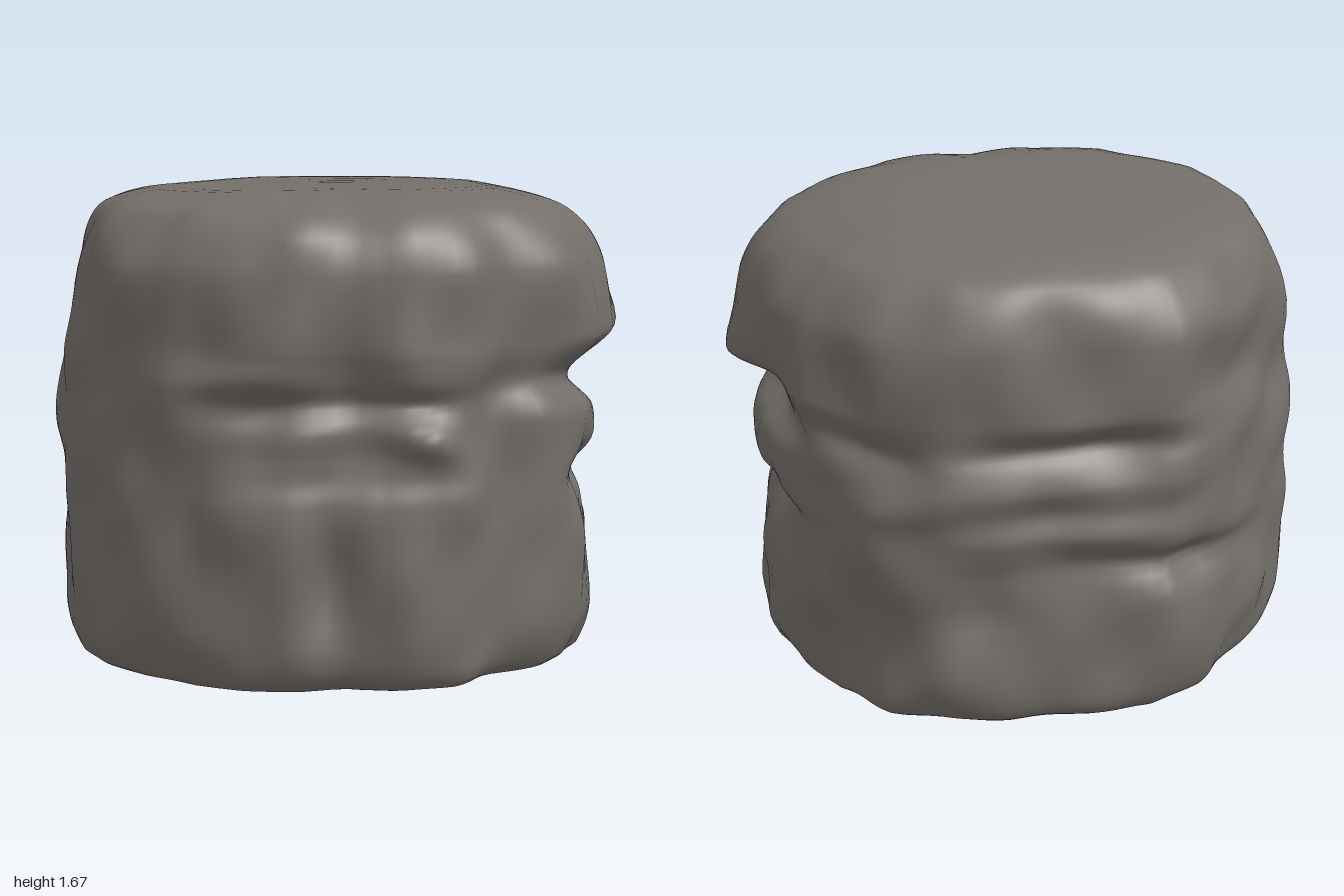
import * as THREE from 'three';

// Plan outline of the boulder, as [x, z]
const OUTLINE = [[0.98, 0], [0.97, 0.2], [0.89, 0.4], [0.78, 0.53], [0.57, 0.68], [0.4, 0.8], [0.2, 0.87], [0, 0.83],
  [-0.2, 0.86], [-0.4, 0.82], [-0.6, 0.74], [-0.77, 0.59], [-0.9, 0.4], [-0.97, 0.22], [-0.99, 0], [-0.98, -0.24],
  [-0.82, -0.48], [-0.62, -0.73], [-0.4, -0.87], [-0.1, -0.86], [0.2, -0.86], [0.4, -0.82], [0.62, -0.7],
  [0.84, -0.48], [0.92, -0.25]];

// Height, then share of the outline on the left (+x), front, right and back
const PROFILE = [[0.02, 0, 0, 0, 0], [0.02, 0.5, 0.5, 0.5, 0.5], [0.025, 0.82, 0.82, 0.87, 0.82],
  [0.08, 0.88, 0.92, 0.95, 0.9], [0.2, 0.92, 0.96, 0.98, 0.93], [0.45, 0.91, 0.97, 0.98, 0.94],
  [0.6, 0.87, 0.99, 0.985, 0.92], [0.68, 0.84, 0.98, 0.985, 0.95], [0.75, 0.9, 0.94, 0.99, 0.97],
  [0.83, 0.92, 0.92, 1, 0.94], [0.92, 0.91, 0.93, 1, 0.98], [1.0, 0.83, 0.9, 0.99, 0.95],
  [1.06, 0.86, 0.93, 0.98, 0.93], [1.14, 0.96, 0.96, 0.97, 0.97], [1.2, 1, 0.97, 0.96, 0.98],
  [1.42, 0.95, 0.97, 0.92, 0.98], [1.54, 0.88, 0.92, 0.88, 0.94], [1.62, 0.77, 0.8, 0.82, 0.87],
  [1.67, 0.57, 0.53, 0.65, 0.71], [1.675, 0.3, 0.3, 0.3, 0.3], [1.675, 0, 0, 0, 0]];

// Dents and bumps: angle, height, angular reach, vertical reach, depth, optional tilt per degree
const DENTS = [
  // front: corner recess, centre notch, knob, brow and the ledge round the corner
  [51, 0.7, 7, 0.75, -0.07], [95, 0.42, 5, 0.28, -0.05, 0.012], [72, 0.87, 7, 0.06, 0.06, 0.004],
  [76, 0.99, 9, 0.05, -0.03], [110, 0.97, 14, 0.06, -0.03], [112, 1.08, 14, 0.05, 0.025],
  [30, 1.04, 20, 0.07, -0.06], [128, 0.5, 4, 0.3, -0.025, -0.02],
  // left: sloping overhang, pit and foot
  [350, 1.13, 12, 0.06, -0.05, -0.004], [16, 0.72, 8, 0.05, -0.04], [322, 0.27, 15, 0.2, -0.09, -0.006],
  [318, 1.05, 14, 0.06, -0.05, 0.003], [305, 0.85, 12, 0.07, 0.03],
  // back: hollow, ledges and foot
  [222, 1.22, 16, 0.12, -0.05, 0.003], [265, 1.06, 20, 0.05, -0.04], [240, 0.6, 24, 0.06, -0.06, 0.002],
  [288, 0.45, 12, 0.12, -0.05], [212, 0.32, 14, 0.1, 0.03]];

const lerp = THREE.MathUtils.lerp;

// Distance to the outline along an angle
function outlineRadius(a) {
  const dx = Math.cos(a), dz = Math.sin(a);
  for (let i = 0; i < OUTLINE.length; i++) {
    const [x0, z0] = OUTLINE[i], [x1, z1] = OUTLINE[(i + 1) % OUTLINE.length];
    const c0 = x0 * dz - z0 * dx, c1 = x1 * dz - z1 * dx;
    if (c0 >= 0 && c1 < 0 && x0 * dx + z0 * dz > 0) {
      const k = c0 / (c0 - c1);
      return Math.hypot(lerp(x0, x1, k), lerp(z0, z1, k));
    }
  }
  return 1;
}

function dentAt(deg, y) {
  let d = 0;
  for (const [a, h, wa, wy, depth, tilt = 0] of DENTS) {
    const da = ((deg - a + 540) % 360) - 180;
    const dy = y - h - tilt * da;
    d += depth * Math.exp(-((da / wa) ** 2) - (dy / wy) ** 2);
  }
  return d;
}

// Fine periodic unevenness of the stone
function rough(a, y) {
  return 0.008 * Math.sin(7 * a + 5 * y + 2 * Math.sin(6 * y)) + 0.007 * Math.sin(13 * a - 9 * y)
    + 0.007 * Math.sin(5 * a + 17 * y) * Math.cos(9 * a);
}

// Diagonal profiles stay smooth between the grooved sides
function diagonalShare([y, ...sides]) {
  return y > 0.3 && y < 1.45 ? 0.965 : sides.reduce((sum, v) => sum + v) / 4;
}

// Closed skin built from rings, with one shared pole at each end
function boulderGeometry(rings, segs) {
  const curve = share => new THREE.CatmullRomCurve3(
    PROFILE.map(p => new THREE.Vector3(share(p), p[0], 0)), false, 'catmullrom', 0.4);
  const curves = [1, 2, 3, 4].flatMap(k => [curve(p => p[k]), curve(diagonalShare)]);
  const pos = [], index = [];
  for (let r = 1; r < rings; r++) {
    const pts = curves.map(c => c.getPoint(r / rings));
    for (let s = 0; s < segs; s++) {
      const a = s / segs * Math.PI * 2, q = s / segs * 8, k = Math.floor(q);
      const f = THREE.MathUtils.smoothstep(q - k, 0, 1);
      const p = pts[k].clone().lerp(pts[(k + 1) % 8], f);
      const side = THREE.MathUtils.smoothstep(p.x, 0.5, 0.9);
      const rad = p.x * outlineRadius(a) + side * (dentAt(a * 180 / Math.PI, p.y) + rough(a, p.y));
      const x = rad * Math.cos(a), z = rad * Math.sin(a);
      const wave = 0.008 * Math.sin(4 * x + 1) * Math.cos(3 * z) * (1 - side);
      pos.push(x, p.y + wave, z);
    }
  }
  const bottom = pos.length / 3, top = bottom + 1, last = (rings - 2) * segs;
  pos.push(0, 0.02, 0, 0, 1.675, 0);
  for (let s = 0; s < segs; s++) {
    const n = (s + 1) % segs;
    index.push(bottom, s, n, top, last + n, last + s);
    for (let r = 0; r < rings - 2; r++) {
      const a = r * segs + s, b = r * segs + n;
      index.push(a, a + segs, b, b, a + segs, b + segs);
    }
  }
  const geo = new THREE.BufferGeometry();
  geo.setAttribute('position', new THREE.Float32BufferAttribute(pos, 3));
  geo.setIndex(index);
  geo.computeVertexNormals();
  return geo;
}

export function createModel() {
  const group = new THREE.Group();
  group.name = 'rock';
  const stone = new THREE.MeshStandardMaterial({ color: 0x736e69 });
  stone.name = 'grey stone';
  const boulder = new THREE.Mesh(boulderGeometry(80, 120), stone);
  boulder.name = 'boulder';
  group.add(boulder);
  return group;
}
